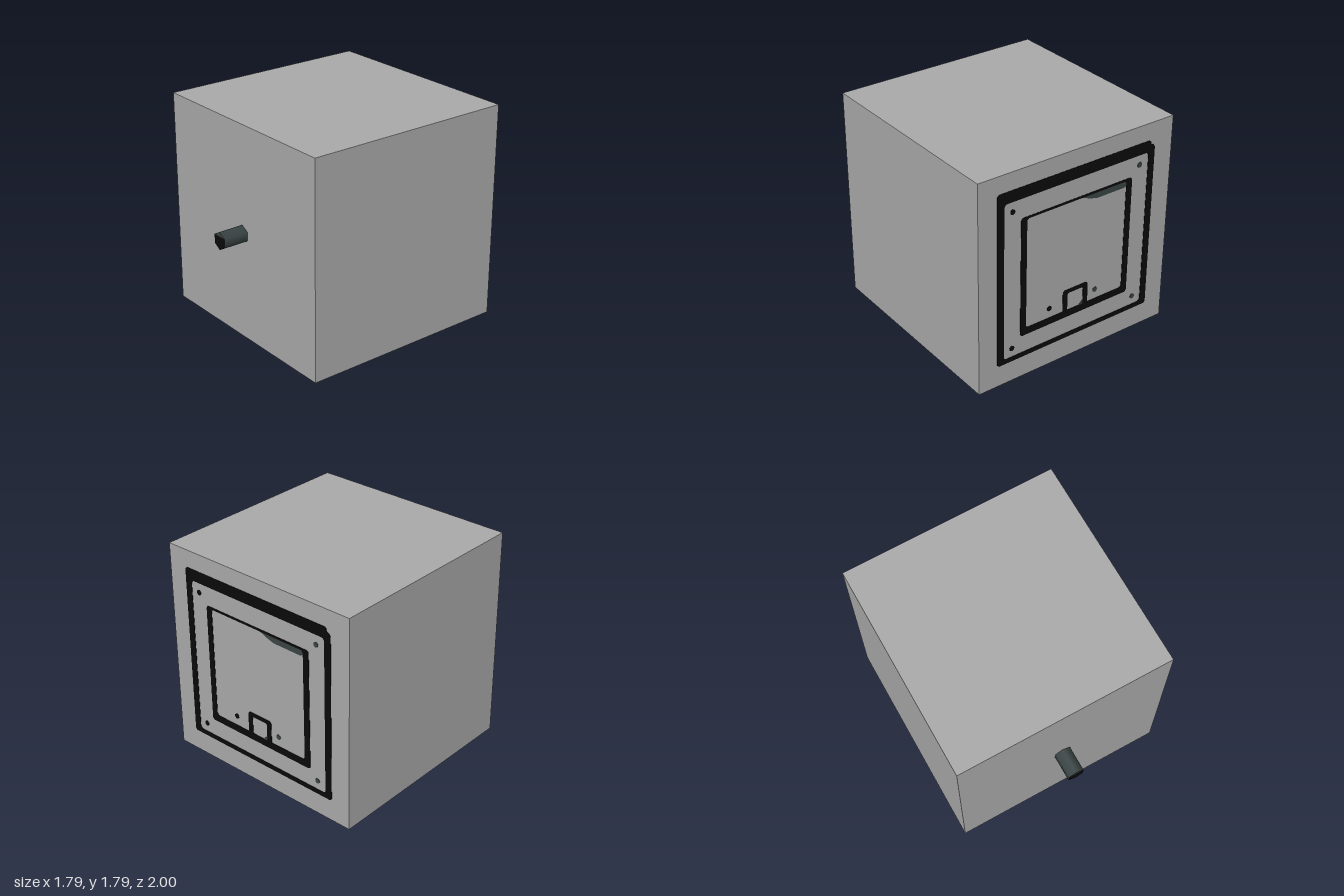
import * as THREE from 'three';

const gray = new THREE.MeshStandardMaterial({ name: 'casing gray', color: 0xa8a8a8 });
const black = new THREE.MeshStandardMaterial({ name: 'slot black', color: 0x0a0a0a });
const slate = new THREE.MeshStandardMaterial({ name: 'dark slate', color: 0x394343 });

const MID = 0.895, HALF = 0.895, BACK = -1, FRONT = 0.79, THICK = 0.004;

const poly = (pts, Type = THREE.Shape) => new Type(pts.map(([x, y]) => new THREE.Vector2(x, y)));

// Rectangle with rounded corners
function roundRect(x0, y0, x1, y1, r, Type = THREE.Shape) {
  const s = new Type();
  s.absarc(x0 + r, y0 + r, r, Math.PI, Math.PI * 1.5);
  s.absarc(x1 - r, y0 + r, r, Math.PI * 1.5, Math.PI * 2);
  s.absarc(x1 - r, y1 - r, r, 0, Math.PI / 2);
  s.absarc(x0 + r, y1 - r, r, Math.PI / 2, Math.PI);
  s.closePath();
  return s;
}

export function createModel() {
  const group = new THREE.Group();
  const add = (name, geometry, material, x = 0, y = 0, z = 0) => {
    const mesh = new THREE.Mesh(geometry, material);
    mesh.name = name;
    mesh.position.set(x, y, z);
    group.add(mesh);
    return mesh;
  };
  // Thin plate lying on the rear face
  const plate = (name, shape, material) => add(name,
    new THREE.ExtrudeGeometry(shape, { depth: THICK, bevelEnabled: false, curveSegments: 6 }),
    material, 0, 0, BACK);

  // Casing
  const depth = FRONT - BACK - 0.003;
  add('casing', new THREE.BoxGeometry(HALF * 2, HALF * 2, depth), gray, 0, MID, FRONT - depth / 2);

  // Six-sided rod on the front
  const R = 0.075, length = 1 - FRONT;
  add('rod', new THREE.CylinderGeometry(R, R, length, 6, 1, true).rotateX(Math.PI / 2),
    slate, 0, MID, FRONT + length / 2);
  const corners = Array.from({ length: 6 }, (_, i) => {
    const a = Math.PI / 2 + i * Math.PI / 3;
    return [R * Math.cos(a), R * Math.sin(a)];
  });
  add('rodTipUpper', new THREE.ShapeGeometry(poly([corners[5], corners[0], corners[1]])), slate, 0, MID, 1);
  add('rodTipLower', new THREE.ShapeGeometry(poly(corners.slice(1))), black, 0, MID, 1);

  // Outer slot around the hatch, with one clipped corner
  const outer = poly([[-0.71, 0.18], [0.715, 0.18], [0.73, 0.195], [0.73, 1.63], [0.715, 1.645],
    [-0.67, 1.645], [-0.685, 1.635], [-0.69, 1.61], [-0.715, 1.6], [-0.725, 1.58], [-0.725, 0.195]]);
  outer.holes.push(roundRect(-0.665, 0.22, 0.67, 1.55, 0.03, THREE.Path));
  plate('outerSlot', outer, black);

  // Inner slot, stepping around the latch
  const inner = roundRect(-0.515, 0.37, 0.52, 1.388, 0.025);
  inner.holes.push(
    poly([[-0.445, 0.43], [-0.12, 0.43], [-0.12, 0.6], [-0.105, 0.615], [0.105, 0.615], [0.12, 0.6],
      [0.12, 0.43], [0.45, 0.43], [0.467, 0.447], [0.467, 1.355], [0.45, 1.37],
      [-0.445, 1.37], [-0.46, 1.355], [-0.46, 0.447]], THREE.Path),
    roundRect(-0.075, 0.43, 0.075, 0.582, 0.015, THREE.Path));
  plate('innerSlot', inner, black);

  // Exposed slate patches at the hatch corner and latch corner
  plate('hatchCornerPatch', poly([[-0.04, 1.37], [-0.1, 1.345], [-0.173, 1.323],
    [-0.44, 1.322], [-0.46, 1.34], [-0.46, 1.37]]), slate);
  plate('latchCornerPatch', poly([[-0.075, 0.43], [-0.035, 0.43], [-0.075, 0.465]]), slate);

  // Screw holes
  const holes = [
    [0.595, 1.468, black], [0.595, 0.296, black], [-0.585, 1.468, slate], [-0.585, 0.296, slate],
    [0.247, 0.512, black], [-0.193, 0.512, slate],
  ];
  for (const [x, y, material] of holes) {
    plate('screwHole', new THREE.Shape().absarc(x, y, 0.022, 0, Math.PI * 2), material);
  }

  return group;
}
